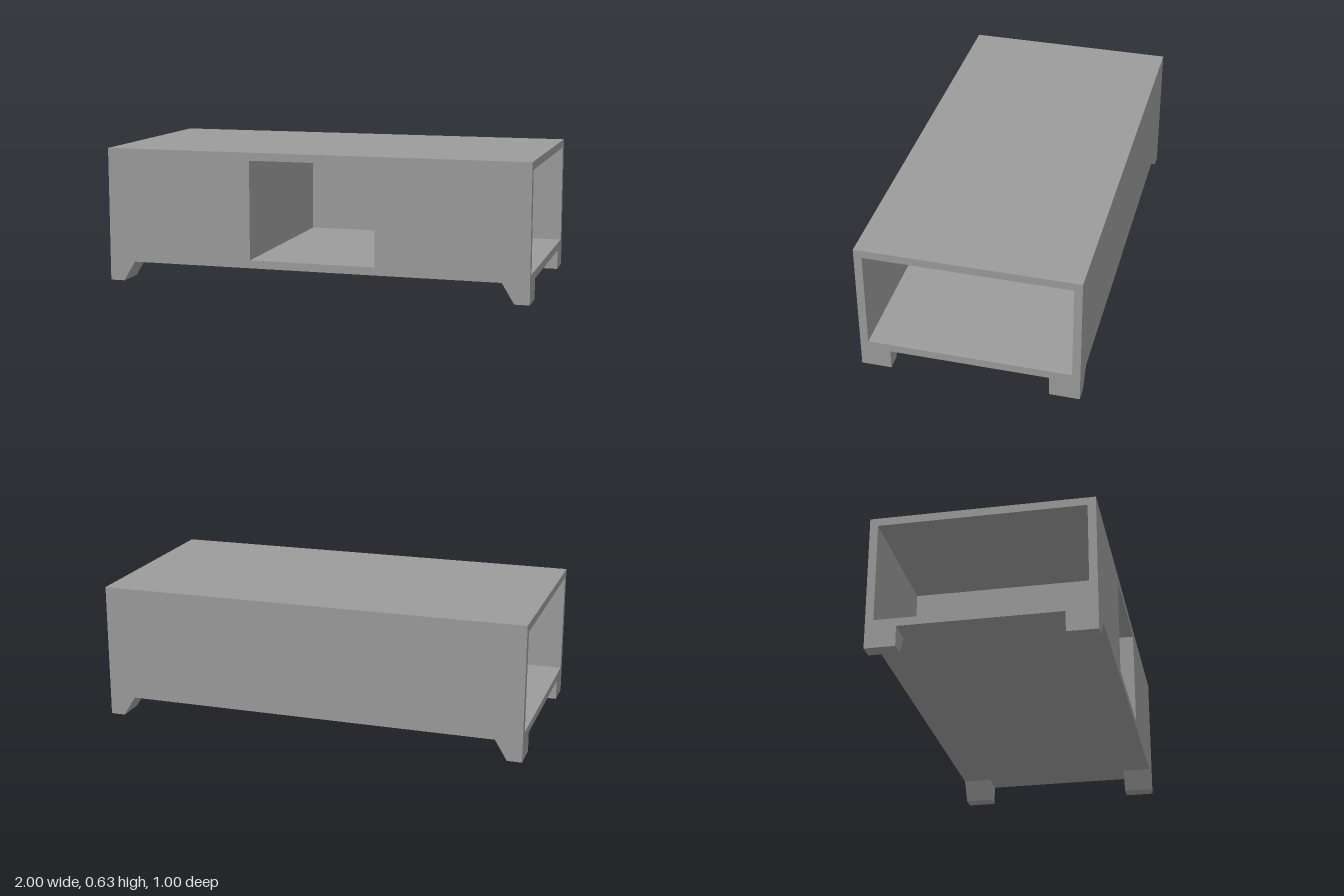
import * as THREE from 'three';

const W = 2, D = 1, H = 0.63;   // overall size
const BASE = 0.0935;            // underside of the cabinet
const T = 0.037;                // board thickness
const OPEN = 0.297;             // half width of the front opening

const material = new THREE.MeshStandardMaterial({ color: 0x9b9b9b, flatShading: true });

function add(parent, name, geometry, x = 0, y = 0, z = 0) {
  const mesh = new THREE.Mesh(geometry, material);
  mesh.name = name;
  mesh.position.set(x, y, z);
  parent.add(mesh);
}

// Foot profile in x/y: upright outer side, sloping inner side
function footGeometry(side, depth) {
  const shape = new THREE.Shape([
    [1, 0], [1, BASE], [0.875, BASE], [0.932, 0],
  ].map(([x, y]) => new THREE.Vector2(side * x, y)));
  return new THREE.ExtrudeGeometry(shape, { depth, bevelEnabled: false });
}

export function createModel() {
  const group = new THREE.Group();
  group.name = 'lowCabinet';

  const innerH = H - BASE - 2 * T;
  const midY = (H + BASE) / 2;

  // Top and bottom boards
  add(group, 'topBoard', new THREE.BoxGeometry(W, T, D), 0, H - T / 2, 0);
  add(group, 'bottomBoard', new THREE.BoxGeometry(W, T, D), 0, BASE + T / 2, 0);

  // Closed back; the front is two panels either side of the central niche
  add(group, 'backPanel', new THREE.BoxGeometry(W, innerH, T), 0, midY, -D / 2 + T / 2);

  const panelW = W / 2 - OPEN;
  const footDepth = 0.138;
  for (const side of [-1, 1]) {
    const label = side > 0 ? 'left' : 'right';
    add(group, label + 'FrontPanel', new THREE.BoxGeometry(panelW, innerH, T),
      side * (OPEN + panelW / 2), midY, D / 2 - T / 2);

    // Divider between the central niche and the open end compartment
    add(group, label + 'Divider', new THREE.BoxGeometry(T, innerH, D - 2 * T),
      side * (OPEN + T / 2), midY, 0);

    // Corner feet
    const foot = footGeometry(side, footDepth);
    add(group, label + 'FrontFoot', foot, 0, 0, D / 2 - footDepth);
    add(group, label + 'BackFoot', foot, 0, 0, -D / 2);
  }
  return group;
}
